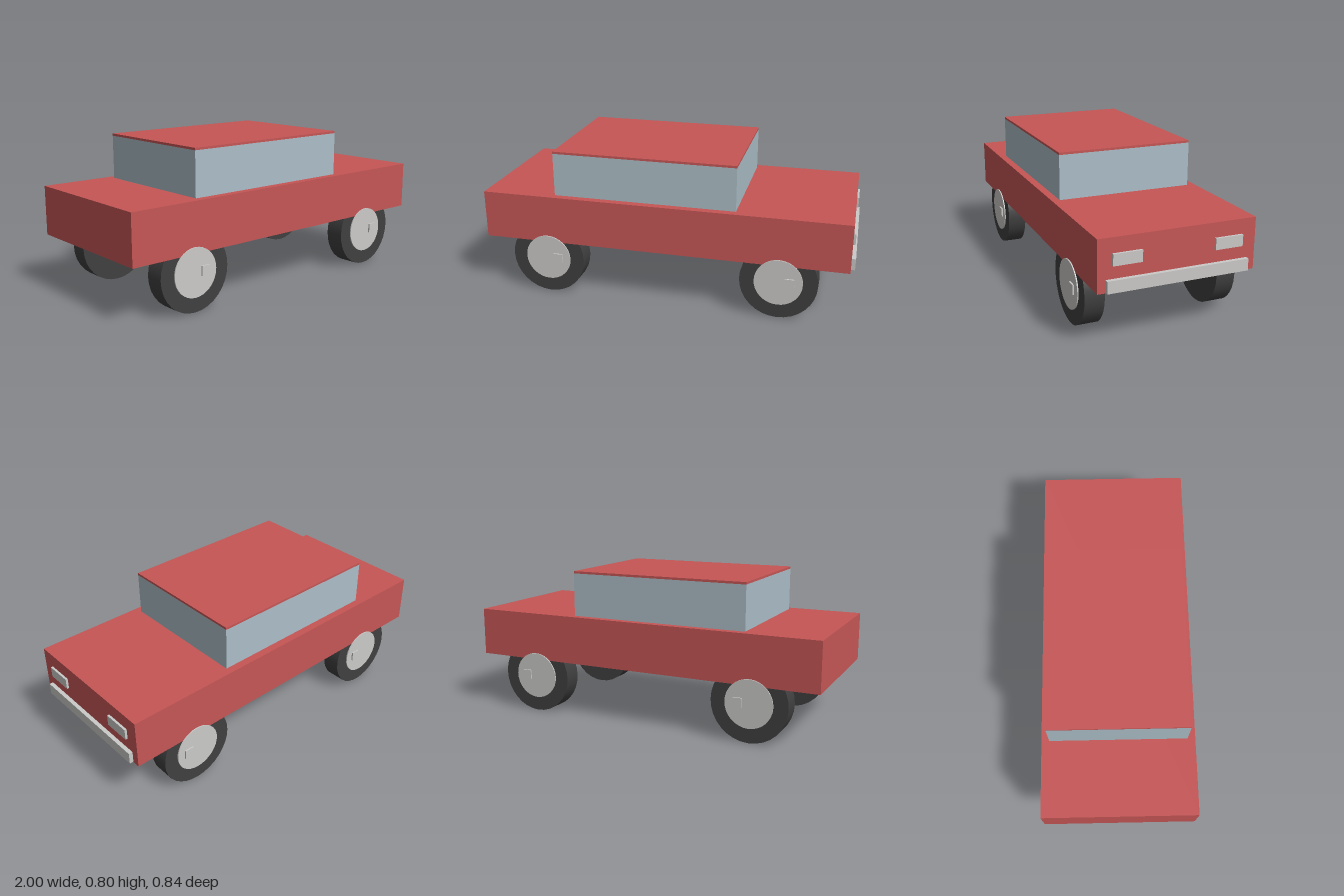
import * as THREE from 'three';

const paint = (name, color) => {
  const m = new THREE.MeshStandardMaterial({ color });
  m.name = name;
  return m;
};

export function createModel() {
  const red = paint('red paint', 0xc65656);
  const glass = paint('blue grey glass', 0xadbfc8);
  const rubber = paint('dark rubber', 0x404040);
  const chrome = paint('light grey trim', 0xcbcac8);

  const car = new THREE.Group();
  car.name = 'car';

  // Box given by its minimum and maximum corners
  const box = (name, material, [x0, y0, z0], [x1, y1, z1], parent = car) => {
    const mesh = new THREE.Mesh(new THREE.BoxGeometry(x1 - x0, y1 - y0, z1 - z0), material);
    mesh.position.set((x0 + x1) / 2, (y0 + y1) / 2, (z0 + z1) / 2);
    mesh.name = name;
    parent.add(mesh);
  };

  // Disc with its axis along z, between two depths
  const disc = (name, material, radius, z0, z1, parent) => {
    const geometry = new THREE.CylinderGeometry(radius, radius, z1 - z0, 32).rotateX(Math.PI / 2);
    const mesh = new THREE.Mesh(geometry, material);
    mesh.position.z = (z0 + z1) / 2;
    mesh.name = name;
    parent.add(mesh);
  };

  // Body, glazed cabin and thin roof
  box('body', red, [-1, 0.296, -0.404], [0.979, 0.557, 0.404]);
  box('cabinWindows', glass, [-0.603, 0.55, -0.363], [0.385, 0.79, 0.363]);
  box('roof', red, [-0.603, 0.79, -0.363], [0.385, 0.802, 0.363]);

  // Bumper and headlights on the +x end
  box('bumper', chrome, [0.97, 0.299, -0.363], [1, 0.36, 0.363]);
  for (const [z0, z1] of [[0.187, 0.332], [-0.332, -0.187]])
    box('headlight', chrome, [0.97, 0.424, z0], [0.991, 0.482, z1]);

  // Four wheels: tyre, hubcap and off-centre square stud
  for (const x of [-0.644, 0.622]) {
    for (const side of [-1, 1]) {
      const wheel = new THREE.Group();
      wheel.name = 'wheel';
      wheel.position.set(x, 0.204, 0);
      const span = (a, b) => (side > 0 ? [a, b] : [-b, -a]);
      disc('tyre', rubber, 0.204, ...span(0.301, 0.4038), wheel);
      disc('hubcap', chrome, 0.127, ...span(0.395, 0.41), wheel);
      const [z0, z1] = span(0.4, 0.418);
      box('hubStud', chrome, [0.033, -0.023, z0], [0.084, 0.028, z1], wheel);
      car.add(wheel);
    }
  }
  return car;
}
